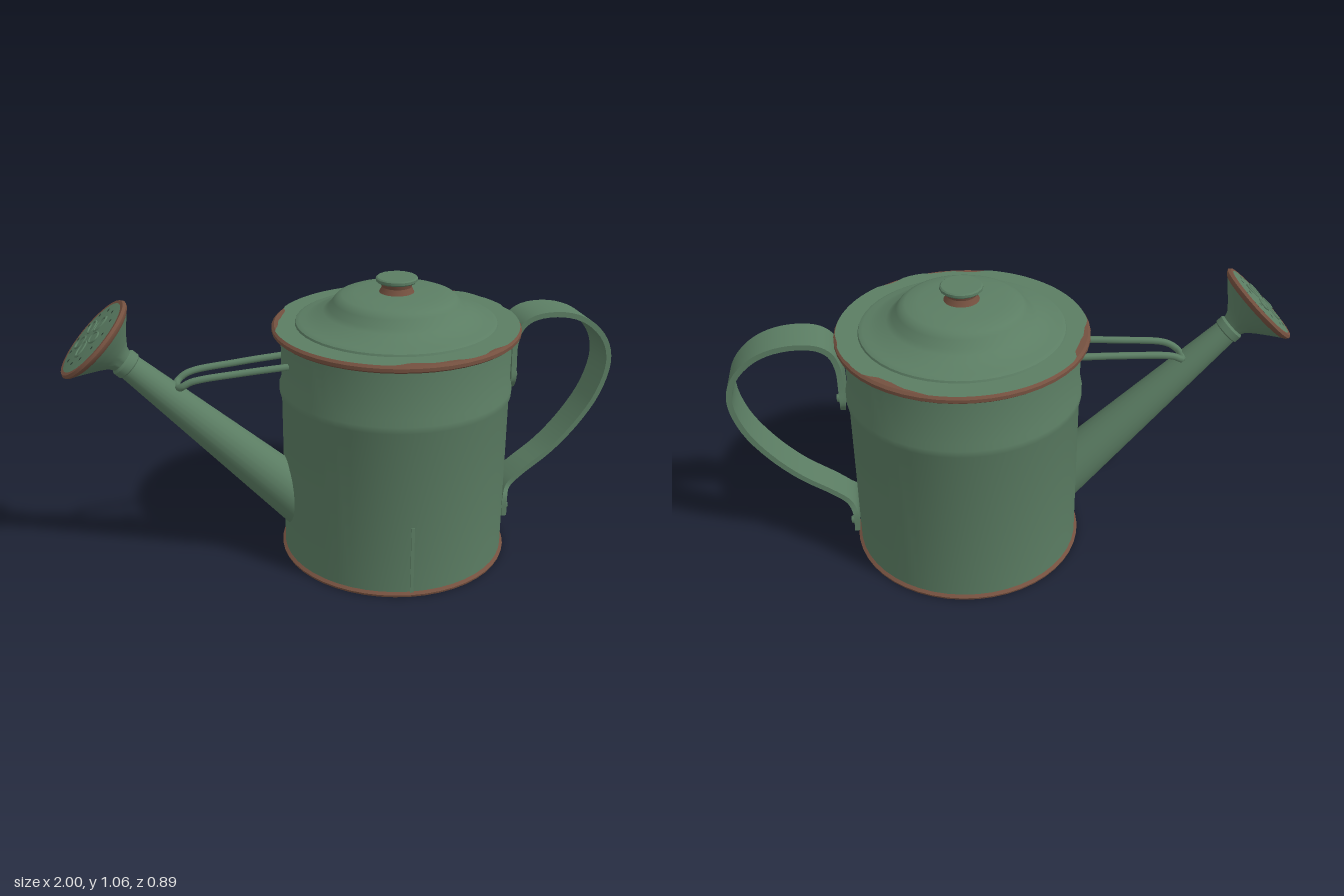
import * as THREE from 'three';
import { toCreasedNormals } from 'three/addons/utils/BufferGeometryUtils.js';

const material = (name, color) => {
  const m = new THREE.MeshStandardMaterial({ color });
  m.name = name;
  return m;
};

export function createModel() {
  const green = material('green enamel', 0x5b7d63);
  const rust = material('rusty brown', 0x74503f);
  const dark = material('dark hole', 0x2f4236);
  const model = new THREE.Group();
  model.name = 'wateringCan';

  const add = (parent, name, geometry, mat, x = 0, y = 0, z = 0) => {
    const mesh = new THREE.Mesh(geometry, mat);
    mesh.name = name;
    mesh.position.set(x, y, z);
    parent.add(mesh);
    return mesh;
  };
  // Profiles run from bottom to top as [radius, height]
  const lathe = (points, sides = 48) => toCreasedNormals(
    new THREE.LatheGeometry(points.map(p => new THREE.Vector2(...p)), sides), 0.55);

  // Can body, lid and knob share one axis
  const can = new THREE.Group();
  can.name = 'can';
  can.position.x = 0.17;
  model.add(can);
  add(can, 'body', lathe([[0, 0.003], [0.415, 0.003], [0.415, 0.615], [0.423, 0.638],
    [0.423, 0.662], [0.415, 0.685], [0.415, 0.87]]), green);
  add(can, 'bottomRim', lathe([[0.41, 0], [0.424, 0], [0.426, 0.008], [0.415, 0.016]]), rust);
  add(can, 'topRim', lathe([[0.41, 0.862], [0.437, 0.861], [0.446, 0.868], [0.446, 0.88],
    [0.437, 0.888], [0.33, 0.888]]), rust);
  add(can, 'frontSeam', new THREE.BoxGeometry(0.012, 0.27, 0.008), green, -0.05, 0.14, 0.411);

  // Painted rim top, worn back to rust in patches along its edge
  const paint = new THREE.RingGeometry(0.3, 0.44, 96, 1);
  const pos = paint.attributes.position;
  for (let i = 0; i < pos.count; i++) {
    const x = pos.getX(i), y = pos.getY(i);
    if (Math.hypot(x, y) < 0.4) continue;
    const a = Math.atan2(y, x);
    const wear = Math.sin(3 * a - 0.6) + 0.6 * Math.sin(7 * a + 1) + 0.3 * Math.sin(17 * a);
    const s = 1 - 0.055 * THREE.MathUtils.clamp(wear - 0.35, 0, 1);
    pos.setXY(i, x * s, y * s);
  }
  paint.rotateX(-Math.PI / 2);
  add(can, 'rimPaint', paint, green, 0, 0.89, 0);

  add(can, 'lid', lathe([[0.365, 0.885], [0.36, 0.897], [0.345, 0.904], [0.325, 0.905], [0.29, 0.922],
    [0.262, 0.932], [0.243, 0.945], [0.226, 0.97], [0.212, 0.984], [0.195, 0.991],
    [0.15, 0.998], [0, 1.002]]), green);
  add(can, 'knobNeck', lathe([[0.065, 0.996], [0.058, 1.008], [0.053, 1.02], [0.058, 1.038]], 24), rust);
  add(can, 'knobCap', lathe([[0, 1.037], [0.07, 1.037], [0.075, 1.042], [0.075, 1.051],
    [0.07, 1.055], [0, 1.056]], 16), green);

  // Spout and rose, built upright and leaned back by 45 degrees
  const spout = new THREE.Group();
  spout.name = 'spout';
  spout.position.set(-0.16, 0.19, 0);
  spout.rotation.z = Math.PI / 4;
  model.add(spout);
  add(spout, 'spoutTube', lathe([[0.1, 0], [0.042, 0.93]], 24), green);
  add(spout, 'spoutCollar', lathe([[0.044, 0.87], [0.051, 0.876], [0.051, 0.9], [0.044, 0.908]], 24), green);
  add(spout, 'roseCone', lathe([[0.042, 0.905], [0.05, 0.925], [0.075, 0.95], [0.115, 0.984], [0.152, 1.014]], 32), green);
  add(spout, 'roseRim', lathe([[0.147, 1.01], [0.16, 1.019], [0.164, 1.027], [0.158, 1.036], [0.138, 1.035]], 32), rust);
  add(spout, 'roseFace', lathe([[0.146, 1.036], [0.07, 1.043], [0, 1.046]], 32), green);
  const ring = new THREE.TorusGeometry(0.026, 0.004, 6, 16).rotateX(Math.PI / 2).scale(1.2, 1, 0.85);
  const hole = new THREE.CircleGeometry(0.007, 8).rotateX(-Math.PI / 2);
  for (let i = 0; i < 5; i++) {
    const a = i * Math.PI * 2 / 5;
    const petal = add(spout, 'rosePetal', ring, green, 0.055 * Math.cos(a), 1.044, -0.055 * Math.sin(a));
    petal.rotation.y = a;
  }
  for (let i = 0; i < 12; i++) {
    const a = i * Math.PI / 6;
    add(spout, 'roseHole', hole, dark, 0.112 * Math.cos(a), 1.0415, 0.112 * Math.sin(a));
  }

  // Pair of brace rods joined by a crossbar over the spout
  const bracePoints = [];
  for (const side of [1, -1]) {
    const half = [[-0.21, 0.777, 0.062], [-0.4, 0.766, 0.055], [-0.575, 0.748, 0.047], [-0.615, 0.725, 0.035]]
      .map(([x, y, z]) => new THREE.Vector3(x, y, z * side));
    bracePoints.push(...(side > 0 ? half : half.reverse()));
  }
  add(model, 'brace', new THREE.TubeGeometry(
    new THREE.CatmullRomCurve3(bracePoints, false, 'centripetal'), 64, 0.013, 8), green);

  // Strap handle: each point gives x, y and half the strap width
  const strap = new THREE.CatmullRomCurve3([
    [0.604, 0.615, 0.06], [0.602, 0.65, 0.083], [0.603, 0.71, 0.078], [0.607, 0.79, 0.072],
    [0.63, 0.85, 0.072], [0.68, 0.882, 0.074], [0.79, 0.885, 0.075], [0.89, 0.848, 0.074],
    [0.965, 0.77, 0.072], [0.989, 0.68, 0.07], [0.957, 0.555, 0.067], [0.88, 0.435, 0.064],
    [0.78, 0.33, 0.061], [0.665, 0.245, 0.06], [0.615, 0.2, 0.064], [0.596, 0.165, 0.088],
    [0.595, 0.085, 0.092],
  ].map(p => new THREE.Vector3(...p)), false, 'centripetal');
  const steps = 64, half = 0.01, verts = [], index = [];
  for (let i = 0; i <= steps; i++) {
    const p = strap.getPoint(i / steps), t = strap.getTangent(i / steps);
    const len = Math.hypot(t.x, t.y), nx = t.y / len * half, ny = -t.x / len * half;
    for (const [n, w] of [[1, 1], [-1, 1], [-1, -1], [1, -1]])
      verts.push(p.x + n * nx, p.y + n * ny, w * p.z);
    if (i === steps) break;
    for (let k = 0; k < 4; k++) {
      const a = i * 4 + k, b = i * 4 + (k + 1) % 4;
      index.push(a, a + 4, b, b, a + 4, b + 4);
    }
  }
  const e = steps * 4;
  index.push(0, 1, 2, 0, 2, 3, e, e + 2, e + 1, e, e + 3, e + 2);
  const handle = new THREE.BufferGeometry();
  handle.setAttribute('position', new THREE.Float32BufferAttribute(verts, 3));
  handle.setIndex(index);
  add(model, 'handle', toCreasedNormals(handle, 0.6), green);

  // Handle rivets
  const rivet = new THREE.CylinderGeometry(0.013, 0.017, 0.012, 6).rotateZ(-Math.PI / 2);
  for (const side of [1, -1]) {
    add(model, 'lowerRivet', rivet, green, 0.609, 0.12, side * 0.066);
    add(model, 'upperRivet', rivet, green, 0.616, 0.665, side * 0.055);
  }
  return model;
}
